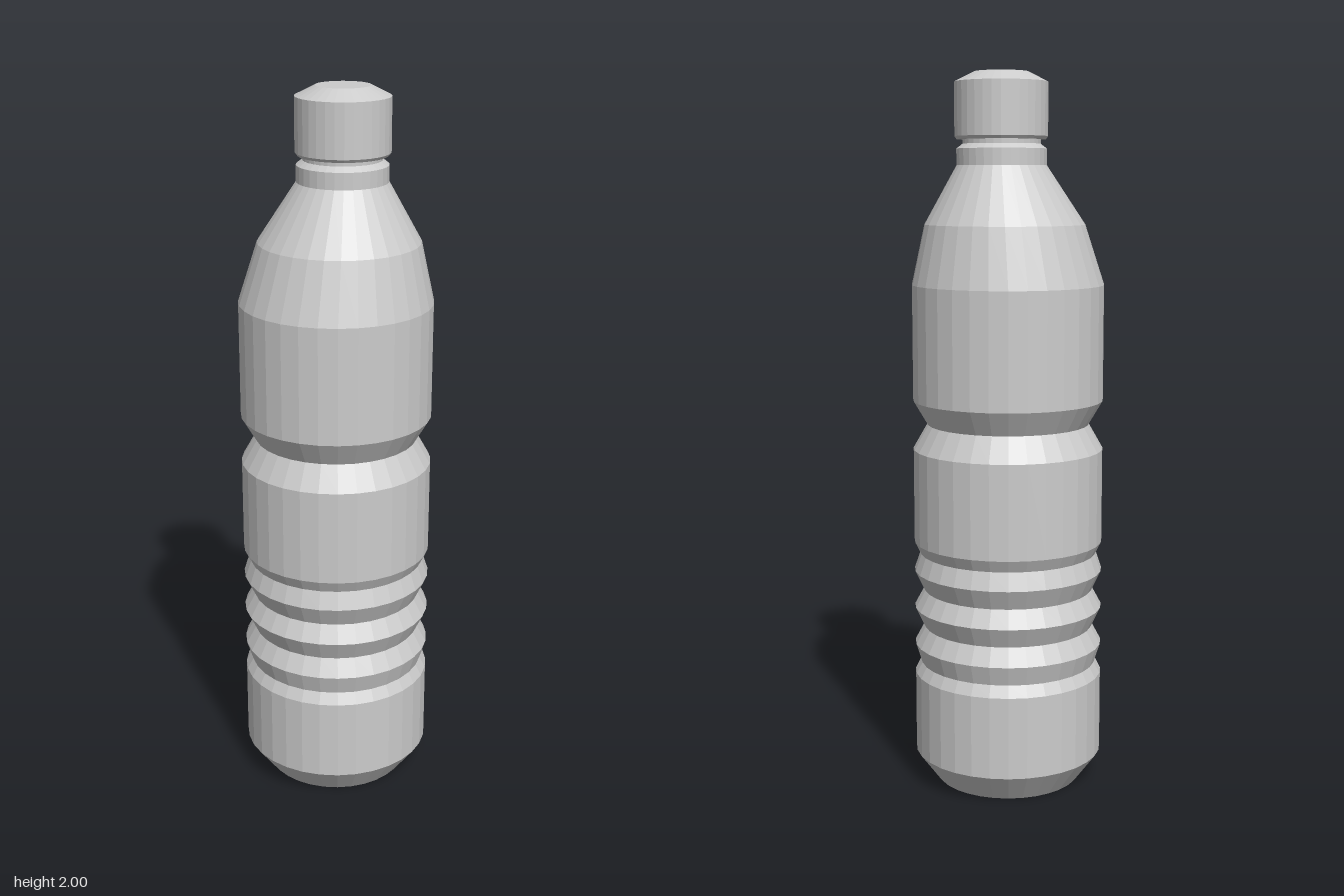
import * as THREE from 'three';

const SIDES = 32;
const material = new THREE.MeshStandardMaterial({ color: 0xcccccc, flatShading: true });

// Turned part from [radius, height] pairs, listed bottom to top
function turned(name, profile) {
  const points = profile.map(([r, y]) => new THREE.Vector2(r, y));
  const mesh = new THREE.Mesh(new THREE.LatheGeometry(points, SIDES), material);
  mesh.name = name;
  return mesh;
}

export function createModel() {
  const model = new THREE.Group();
  model.name = 'bottle';
  const R = 0.267;

  // Body: tapered foot, three grip ribs, waist groove, shoulder and neck
  const ribs = [];
  for (let i = 0; i < 3; i++) {
    const y = 0.402 + i * 0.107;
    ribs.push([R, y], [i < 2 ? 0.24 : 0.25, y + 0.05]);
  }
  const body = turned('body', [
    [0, 0], [0.205, 0], [R, 0.083], [R, 0.315], [0.25, 0.347],
    ...ribs,
    [R, 0.7], [R, 0.965], [0.227, 1.035], [R, 1.103], [R, 1.425],
    [0.222, 1.59], [0.124, 1.75], [0.124, 1.795], [0.107, 1.808], [0.107, 1.83],
  ]);

  // The shoulder and neck lean slightly toward +x
  const pos = body.geometry.attributes.position;
  for (let i = 0; i < pos.count; i++) {
    const lean = THREE.MathUtils.clamp((pos.getY(i) - 1.425) / 0.33, 0, 1);
    pos.setX(i, pos.getX(i) + 0.019 * lean);
  }
  body.geometry.computeVertexNormals();
  model.add(body);

  // Screw cap with a bevelled top
  const cap = turned('cap', [
    [0, 1.82], [0.122, 1.82], [0.128, 1.828], [0.128, 1.973], [0.074, 2], [0, 2],
  ]);
  cap.position.x = 0.02;
  model.add(cap);

  return model;
}
